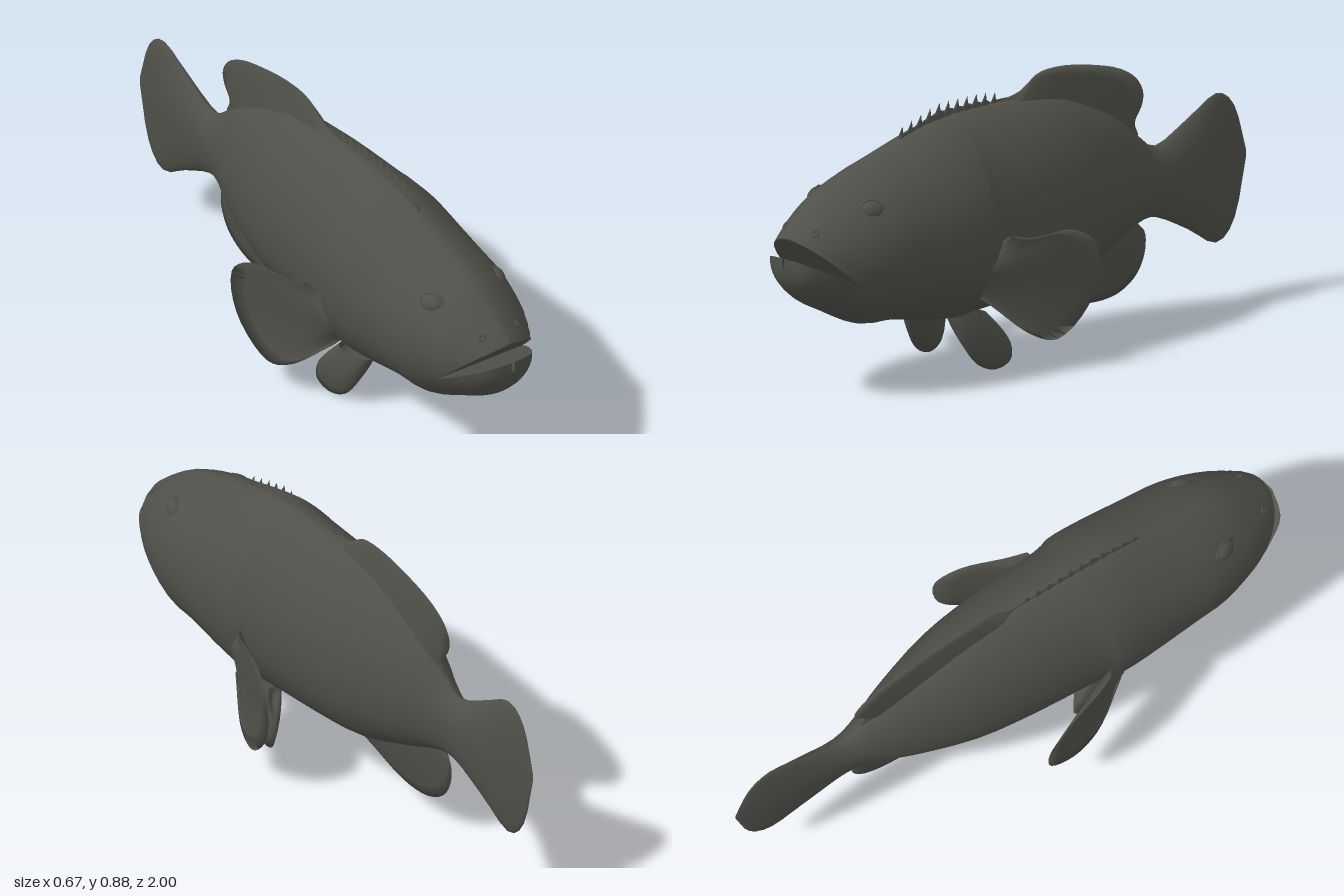
import * as THREE from 'three';
import { mergeGeometries, mergeVertices } from 'three/addons/utils/BufferGeometryUtils.js';

const skin = new THREE.MeshStandardMaterial({ color: 0x50504a, side: THREE.DoubleSide });
skin.name = 'olive grey skin';

// Surface through rows of [x, y, z] points
function grid(rows) {
  const n = rows[0].length, index = [];
  for (let i = 0; i < rows.length - 1; i++) {
    for (let j = 0; j < n - 1; j++) {
      const a = i * n + j, b = a + n;
      index.push(a, b, a + 1, b, b + 1, a + 1);
    }
  }
  const g = new THREE.BufferGeometry();
  g.setAttribute('position', new THREE.Float32BufferAttribute(rows.flat(2), 3));
  g.setIndex(index);
  return g;
}

function smooth(...parts) {
  const g = mergeVertices(mergeGeometries(parts), 1e-4);
  g.computeVertexNormals();
  return g;
}

// Points along a smooth curve
function spline(points, count, type = 'centripetal') {
  const vectors = points.map(p => new THREE.Vector3(...p));
  return new THREE.CatmullRomCurve3(vectors, false, type).getPoints(count);
}

// Body profile from jaw to tail: z, top, bottom, half width
const profile = [
  [1, .53, .44, .004], [.98, .54, .38, .08], [.92, .59, .32, .127], [.82, .66, .268, .178],
  [.7, .71, .213, .212], [.58, .745, .205, .222], [.4, .797, .17, .233], [.3, .81, .163, .233],
  [.24, .815, .166, .217], [0, .812, .18, .2], [-.2, .786, .2, .173], [-.4, .7, .268, .115],
  [-.52, .607, .314, .068], [-.61, .55, .318, .048], [-.75, .613, .253, .044],
  [-.87, .672, .188, .03], [-.95, .62, .255, .014], [-1, .47, .44, .001],
];
const samples = (profile.length - 1) * 3, midY = .45;
const backLine = spline(profile.map(([z, top, , w]) => [w, top, z]), samples, 'catmullrom');
const bellyLine = spline(profile.map(([z, , bottom]) => [0, bottom, z]), samples, 'catmullrom');

// Upper and lower halves of the body, parting at the mouth
const steps = 18, mouthZ = .82;
function half(upper) {
  return backLine.map(({ x: w, y: top, z }, i) => {
    const up = top - midY, down = midY - bellyLine[i].y;
    const cut = .38 + Math.max(0, z - mouthZ) * (upper ? .94 : .53) - midY;
    const a = Math.asin(THREE.MathUtils.clamp(cut / (cut > 0 ? up : down), -1, 1));
    const from = upper ? a : -Math.PI - a, to = upper ? Math.PI - a : a;
    return Array.from({ length: steps + 1 }, (_, j) => {
      const angle = from + (to - from) * j / steps;
      const s = Math.sin(angle), c = Math.cos(angle);
      const x = w * Math.sign(c) * Math.pow(Math.abs(c), s > 0 ? 1.35 : 1);
      return [x, midY + s * (s > 0 ? up : down), upper ? Math.min(z, .98) : z];
    });
  });
}

// Fin between a root line and an outer edge, thinning outwards and at both ends
function fin(root, edge, thickness, side = 1, bulge = 1.3) {
  const n = 6;
  return smooth(grid(root.map((r, i) => {
    const th = thickness * Math.sqrt(Math.max(0, Math.sin(Math.PI * i / (root.length - 1))));
    return Array.from({ length: 2 * n + 1 }, (_, j) => {
      const k = 1 - Math.abs(j - n) / n;
      const p = r.clone().lerp(edge[i], k);
      return [side * p.x + Math.sign(n - j) * th * (1 - Math.pow(k, bulge)), p.y, p.z];
    });
  })));
}

export function createModel() {
  const fish = new THREE.Group();
  fish.name = 'fish';
  const add = (name, geometry, parent = fish) => {
    const m = new THREE.Mesh(geometry, skin);
    m.name = name;
    parent.add(m);
    return m;
  };

  const upper = half(true), lower = half(false);
  add('body', smooth(grid(upper), grid(lower)));

  // Palate and mouth floor
  const front = backLine.filter(p => p.z > mouthZ - .001).length;
  const chord = rows => rows.slice(0, front).map(r => [r[steps], r[0]]);
  add('palate', smooth(grid(chord(upper))));
  add('mouthFloor', smooth(grid(chord(lower))));

  // Low spiny front dorsal fin with a sawtooth edge
  const spines = [];
  for (let i = 0; i < 11; i++) {
    const z = .49 - i * .04;
    const y = .832 - Math.max(0, z - .33) * .3 - Math.max(0, .15 - z) * .15;
    spines.push([0, y - .004, z + .012], [0, y + .026, z - .006], [0, y, z - .01]);
  }
  spines.push([0, .822, .01]);
  const spineEdge = spines.map(p => new THREE.Vector3(...p));
  const spineRoot = spineEdge.map(p => new THREE.Vector3(0, .745 + (.5 - p.z) * .08, p.z));
  add('spinyDorsalFin', fin(spineRoot, spineEdge, .012));

  const n = 32;
  add('softDorsalFin', fin(
    spline([[0, .78, .06], [0, .56, -.52]], n),
    spline([[0, .818, .05], [0, .835, -.03], [0, .876, -.1], [0, .882, -.2], [0, .86, -.34],
      [0, .825, -.46], [0, .78, -.53], [0, .73, -.557], [0, .69, -.55], [0, .64, -.52], [0, .6, -.535]], n),
    .036));

  add('analFin', fin(
    spline([[0, .34, -.5], [0, .2, .03]], n),
    spline([[0, .31, -.52], [0, .285, -.56], [0, .22, -.565], [0, .15, -.53], [0, .105, -.46],
      [0, .09, -.38], [0, .096, -.29], [0, .137, -.14], [0, .178, .02]], n),
    .034));

  for (const side of [1, -1]) {
    const label = side > 0 ? 'left' : 'right';

    add(label + 'PectoralFin', fin(
      spline([[.2, .42, .27], [.2, .34, .31], [.16, .255, .31]], n),
      spline([[.245, .46, .245], [.27, .445, .18], [.315, .455, .04], [.336, .395, -.04],
        [.324, .225, -.03], [.296, .107, .09], [.272, .13, .18], [.2, .245, .31]], n),
      .018, side, 2));

    add(label + 'PelvicFin', fin(
      spline([[.1, .19, .24], [.1, .19, .38]], n),
      spline([[.11, .165, .24], [.15, .09, .165], [.158, .03, .165], [.15, .004, .22],
        [.14, .028, .29], [.125, .1, .345], [.11, .165, .37]], n),
      .044, side, 2.5));

    // Eye with a raised rim
    const eye = new THREE.Group();
    eye.name = label + 'Eye';
    add('eyeball', new THREE.SphereGeometry(.034, 16, 12), eye).scale.set(1.1, .85, .5);
    add('eyeRim', new THREE.TorusGeometry(.034, .005, 6, 18), eye).scale.set(1.15, .92, 1);
    eye.position.set(side * .131, .61, .742);
    eye.rotation.set(-.45, side * 1.15, 0, 'YXZ');
    fish.add(eye);

    // Paired nostrils
    for (const [x, y, z] of [[.068, .555, .925], [.085, .553, .9]]) {
      const nostril = add(label + 'Nostril', new THREE.TorusGeometry(.009, .005, 5, 8));
      nostril.position.set(side * x, y, z);
      nostril.rotation.set(-.6, side * .6, 0, 'YXZ');
    }
  }
  return fish;
}
